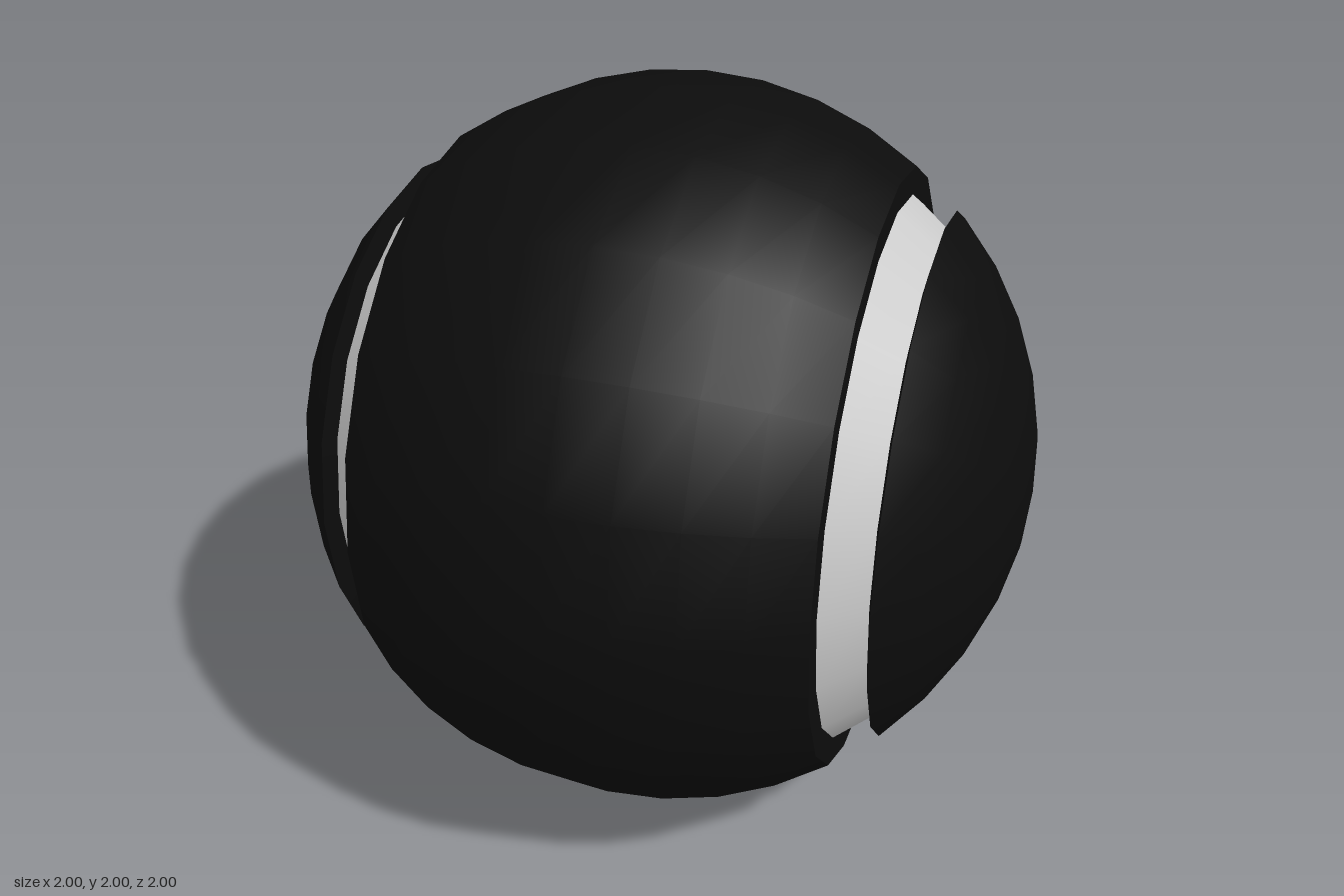
import * as THREE from 'three';

const SIDES = 20;
const rad = THREE.MathUtils.degToRad;

// Points on the unit circle as [radius, axial position], angles measured from the equator
function arc(from, to, step) {
  const pts = [];
  for (let a = from; a <= to; a += step) pts.push([Math.max(0, Math.cos(rad(a))), Math.sin(rad(a))]);
  return pts;
}

// Lathe a [radius, axial] profile around the x axis
function turned(name, profile, material, spherical = false) {
  const geo = new THREE.LatheGeometry(profile.map(([r, h]) => new THREE.Vector2(r, h)), SIDES);
  geo.rotateZ(-Math.PI / 2);
  if (spherical) {
    // True sphere normals keep the surface smooth up to the pole
    const p = geo.attributes.position, v = new THREE.Vector3();
    for (let i = 0; i < p.count; i++) {
      v.fromBufferAttribute(p, i).normalize();
      geo.attributes.normal.setXYZ(i, v.x, v.y, v.z);
    }
  }
  const mesh = new THREE.Mesh(geo, material);
  mesh.name = name;
  return mesh;
}

export function createModel() {
  const dark = new THREE.MeshStandardMaterial({ color: 0x0c0c0c });
  const grey = new THREE.MeshStandardMaterial({ color: 0xcccccc });
  const model = new THREE.Group();
  model.name = 'groovedBall';

  const band = arc(-36, 36, 9);
  const cap = arc(45, 90, 9);
  const inner = [0.735, band.at(-1)[1]]; // groove floor beside the band
  const outer = [0.648, 0.695];          // groove floor beside the cap

  // Wide central band
  const ball = new THREE.Group();
  ball.name = 'ball';
  ball.position.y = 1;
  ball.add(turned('centralBand', band, dark, true));

  // Each end: band wall, grey groove ring, cap wall and domed cap
  for (const [side, angle] of [['left', 0], ['right', Math.PI]]) {
    const end = new THREE.Group();
    end.name = side + 'End';
    end.rotation.y = angle;
    end.add(
      turned('bandWall', [band.at(-1), inner], dark),
      turned('grooveRing', [inner, outer], grey),
      turned('capWall', [outer, cap[0]], dark),
      turned('endCap', cap, dark, true)
    );
    ball.add(end);
  }
  model.add(ball);
  return model;
}
